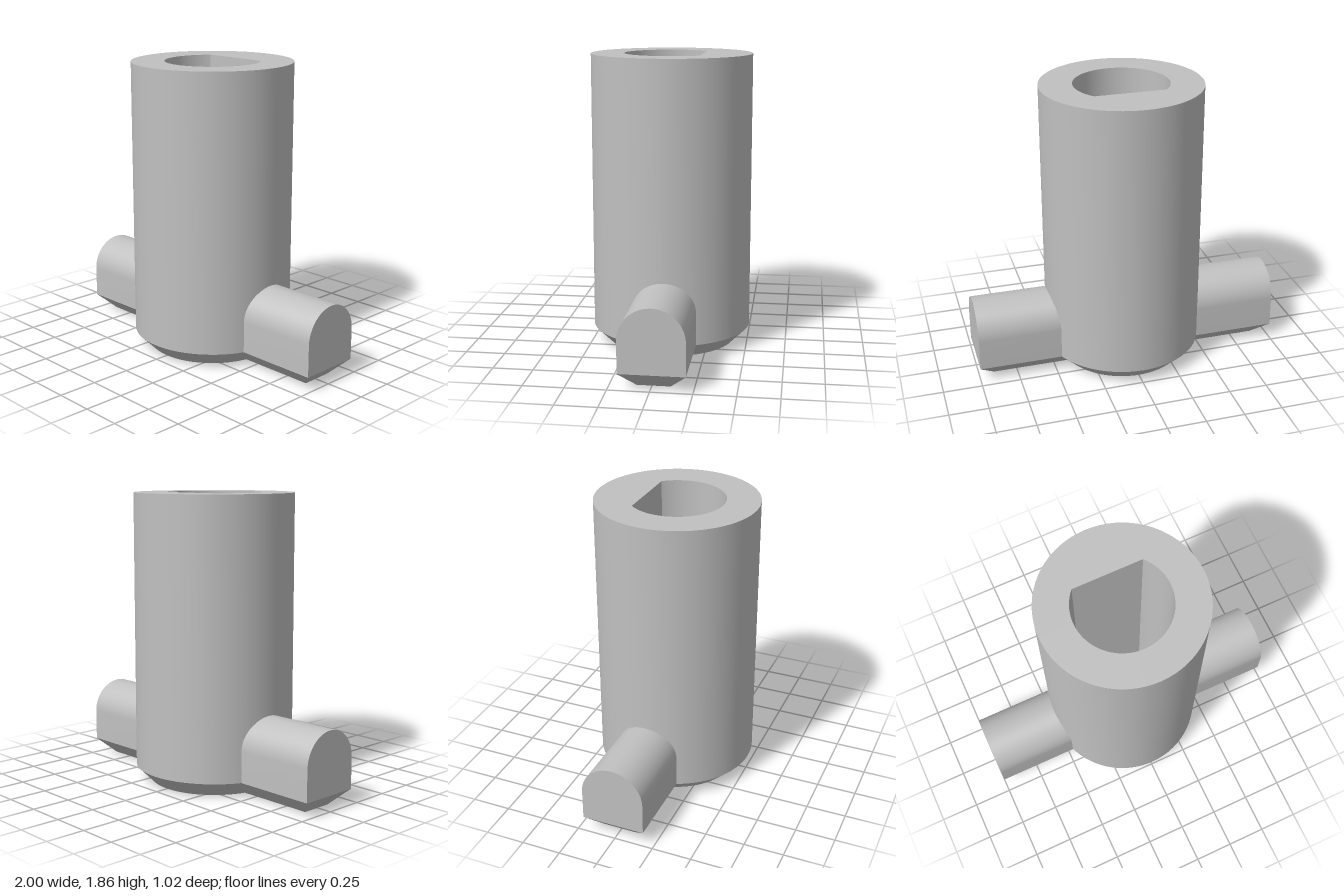
import * as THREE from 'three';
import { toCreasedNormals } from 'three/addons/utils/BufferGeometryUtils.js';

const CHAMFER = 0.1, CREASE = 0.5;

// Move every vertex of a geometry by a rule
function moveVertices(geometry, rule) {
  const pos = geometry.attributes.position;
  const v = new THREE.Vector3();
  for (let i = 0; i < pos.count; i++) {
    rule(v.fromBufferAttribute(pos, i));
    pos.setXYZ(i, v.x, v.y, v.z);
  }
  return geometry;
}

// Tube with a D-shaped bore and a chamfered lower rim
function bodyGeometry() {
  const radius = 0.51, bore = 0.3, flat = 0.2, height = 1.86;
  const shape = new THREE.Shape().absarc(0, 0, radius, 0, Math.PI * 2);
  const a = Math.asin(flat / bore);
  const hole = new THREE.Path().absarc(0, 0, bore, Math.PI - a, Math.PI * 2 + a);
  hole.closePath();
  shape.holes.push(hole);
  const geometry = new THREE.ExtrudeGeometry(shape, { depth: 2, steps: 2, bevelEnabled: false, curveSegments: 36 });
  geometry.rotateX(-Math.PI / 2);
  // The three layers become the base, the top of the chamfer and the top of the tube
  const levels = [0, CHAMFER, height];
  moveVertices(geometry, (v) => {
    const layer = Math.round(v.y);
    if (layer === 0 && Math.hypot(v.x, v.z) > 0.4) {
      v.x *= (radius - CHAMFER) / radius;
      v.z *= (radius - CHAMFER) / radius;
    }
    v.y = levels[layer];
  });
  return toCreasedNormals(geometry, CREASE);
}

const ARM_START = 0.35, ARM_END = 1, ARM_HALF = 0.2;

// Round-topped upper part of an arm, running along x
function armGeometry() {
  const shape = new THREE.Shape();
  shape.moveTo(-ARM_HALF, CHAMFER);
  shape.lineTo(ARM_HALF, CHAMFER);
  shape.lineTo(ARM_HALF, 0.3);
  shape.absarc(0, 0.3, ARM_HALF, 0, Math.PI);
  shape.closePath();
  const geometry = new THREE.ExtrudeGeometry(shape, { depth: ARM_END - ARM_START, bevelEnabled: false, curveSegments: 18 });
  geometry.translate(0, 0, ARM_START).rotateY(Math.PI / 2);
  return toCreasedNormals(geometry, CREASE);
}

// Chamfered underside of an arm
function armBaseGeometry() {
  const geometry = new THREE.BoxGeometry(ARM_END - ARM_START, CHAMFER, ARM_HALF * 2);
  geometry.translate((ARM_START + ARM_END) / 2, CHAMFER / 2, 0);
  moveVertices(geometry, (v) => {
    if (v.y > CHAMFER / 2) return;
    v.z -= Math.sign(v.z) * CHAMFER;
    if (v.x > 0.5) v.x -= CHAMFER;
  });
  return toCreasedNormals(geometry, CREASE);
}

export function createModel() {
  const model = new THREE.Group();
  model.name = 'socketCoupling';
  const grey = new THREE.MeshStandardMaterial({ color: 0xc0c0c0 });
  grey.name = 'grey';

  const add = (parent, name, geometry) => {
    const mesh = new THREE.Mesh(geometry, grey);
    mesh.name = name;
    parent.add(mesh);
  };

  add(model, 'body', bodyGeometry());

  // Two opposite arms, slightly behind the tube axis
  const upper = armGeometry(), base = armBaseGeometry();
  for (const [name, turn] of [['leftArm', 0], ['rightArm', Math.PI]]) {
    const arm = new THREE.Group();
    arm.name = name;
    add(arm, 'armTop', upper);
    add(arm, 'armChamfer', base);
    arm.rotation.y = turn;
    arm.position.z = -0.01;
    model.add(arm);
  }
  return model;
}
